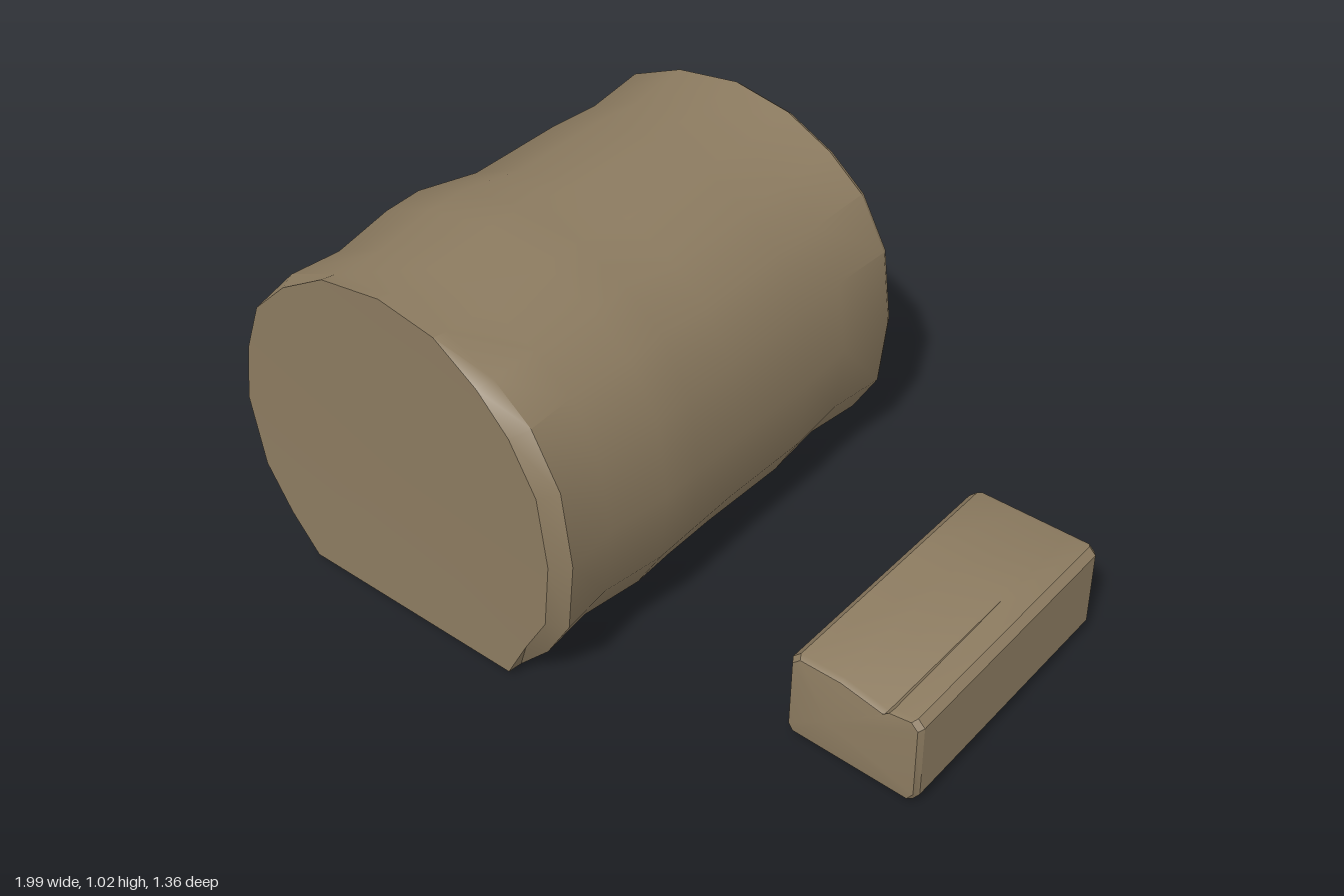
import * as THREE from 'three';
import { toCreasedNormals } from 'three/addons/utils/BufferGeometryUtils.js';

// Joins matching closed loops (counter-clockwise, back to front) and caps both ends with fans.
function loft(loops, backTip, frontTip, crease) {
  const n = loops[0].length, pos = loops.flat(2), index = [];
  for (let i = 0; i < loops.length - 1; i++) {
    for (let j = 0; j < n; j++) {
      const k = (j + 1) % n;
      const a = i * n + j, b = i * n + k, c = a + n, d = b + n;
      index.push(a, b, d, a, d, c);
    }
  }
  const back = loops.length * n, front = back + 1, last = (loops.length - 1) * n;
  pos.push(...backTip, ...frontTip);
  for (let j = 0; j < n; j++) {
    const k = (j + 1) % n;
    index.push(back, k, j, front, last + j, last + k);
  }
  const geo = new THREE.BufferGeometry();
  geo.setAttribute('position', new THREE.Float32BufferAttribute(pos, 3));
  geo.setIndex(index);
  return toCreasedNormals(geo, crease);
}

// Drum outline with a flat foot, as fractions of its width and height
const drumOutline = [
  [0.18, 0], [0.82, 0], [0.91, 0.105], [0.98, 0.235], [1, 0.445], [0.975, 0.66],
  [0.9, 0.81], [0.8, 0.9], [0.67, 0.97], [0.51, 1], [0.33, 0.97], [0.18, 0.9],
  [0.085, 0.77], [0.03, 0.62], [0, 0.445], [0.03, 0.235], [0.1, 0.105],
];

// Worn bands along the drum: z, left edge, right edge, bottom, top
const drumBands = [
  [-0.68, -0.95, 0.135, 0.02, 1.0],
  [-0.66, -0.96, 0.145, 0.01, 1.015],
  [-0.475, -0.945, 0.13, 0.025, 0.993],
  [-0.3, -0.947, 0.137, 0.0, 1.006],
  [0, -0.945, 0.14, 0.015, 1.0],
  [0.17, -1.0, 0.147, 0.012, 1.01],
  [0.3, -0.98, 0.152, 0.01, 1.02],
  [0.49, -0.945, 0.13, 0.025, 1.0],
  [0.64, -0.957, 0.145, 0.015, 1.008],
  [0.68, -0.96, 0.14, 0.015, 1.012],
];

function drumGeometry() {
  const loops = drumBands.map(([z, l, r, b, t], i) => drumOutline.map(([u, v]) => {
    let x = l + (r - l) * u, y = b + (t - b) * v;
    // front rim worn away on one flank and chipped in two places on top
    if (i === drumBands.length - 1) {
      const wear = u > 0.85 ? 0.93 : (v > 0.88 && v < 0.95) ? 0.96 : 1;
      x = -0.405 + (x + 0.405) * wear;
      y = 0.46 + (y - 0.46) * wear;
    }
    return [x, y, z];
  }));
  return loft(loops, [-0.405, 0.48, -0.672], [-0.405, 0.48, 0.668], 0.62);
}

// Block outline, with a scar on the top that deepens toward the front
const blockOutline = (dip) => [
  [0.62, 0.025], [0.975, 0.018], [0.993, 0.045], [0.99, 0.265], [0.97, 0.285],
  [0.905, 0.285 - dip * 0.4], [0.89, 0.285 - dip], [0.76, 0.285], [0.635, 0.285],
  [0.612, 0.262], [0.607, 0.045],
];

function blockGeometry() {
  // z, inset toward the middle, scar depth
  const loops = [[-0.395, 0.05, 0], [-0.38, 0, 0], [-0.1, 0, 0], [0.385, 0, 0.025], [0.4, 0.05, 0.025]]
    .map(([z, inset, dip]) => blockOutline(dip).map(([x, y]) => [
      x + (0.8 - x) * inset, y + (0.15 - y) * inset, z,
    ]));
  return loft(loops, [0.8, 0.15, -0.398], [0.74, 0.15, 0.42], 0.5);
}

export function createModel() {
  const model = new THREE.Group();
  model.name = 'stoneDrumAndBlock';
  const stone = new THREE.MeshStandardMaterial({ color: 0x8c7b60 });
  stone.name = 'brown stone';

  const drum = new THREE.Mesh(drumGeometry(), stone);
  drum.name = 'columnDrum';
  const block = new THREE.Mesh(blockGeometry(), stone);
  block.name = 'looseBlock';
  model.add(drum, block);
  return model;
}
